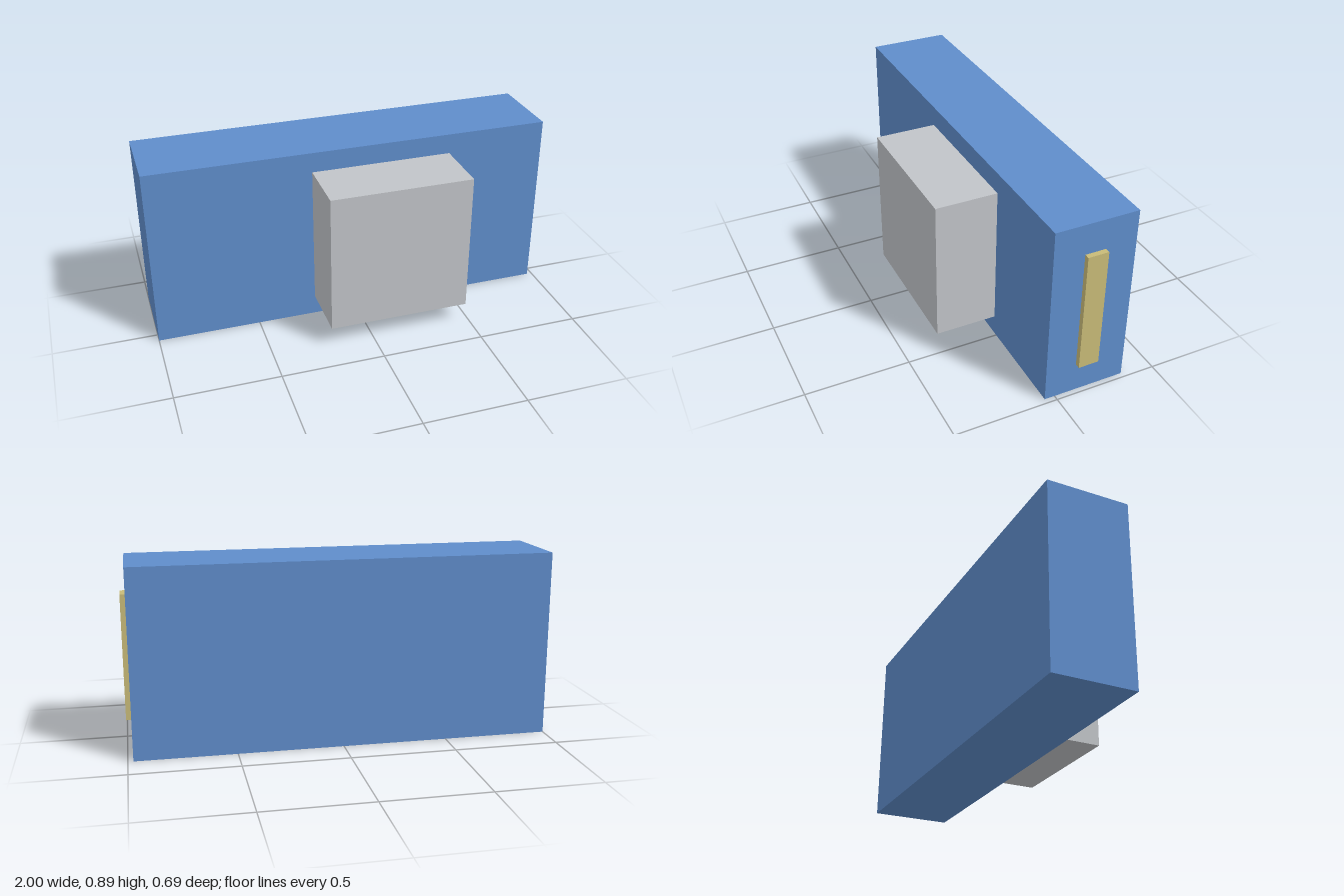
import * as THREE from 'three';

const U = 2 / 81; // one design unit: the whole model is 81 units long

const material = (name, color) => {
  const m = new THREE.MeshStandardMaterial({ color });
  m.name = name;
  return m;
};

export function createModel() {
  const group = new THREE.Group();
  group.name = 'relayModule';

  const blue = material('blue', 0x5f8dcb);
  const grey = material('lightGrey', 0xc1c4c8);
  const brass = material('brass', 0xc8bb78);

  // Box from its minimum corner and size, in design units
  const addBox = (name, mat, [x, y, z], [w, h, d]) => {
    const mesh = new THREE.Mesh(new THREE.BoxGeometry(w * U, h * U, d * U), mat);
    mesh.name = name;
    mesh.position.set((x + w / 2) * U, (y + h / 2) * U, (z + d / 2) * U);
    group.add(mesh);
  };

  // Long upright slab
  addBox('body', blue, [-40.5, 0, -14], [80, 36, 16]);
  // Square block standing out from the front
  addBox('frontBlock', grey, [-8.6, 4, 2], [28, 28, 12]);
  // Thin strip on the left end
  addBox('endStrip', brass, [39.5, 6, -8], [1, 24, 4]);

  return group;
}
